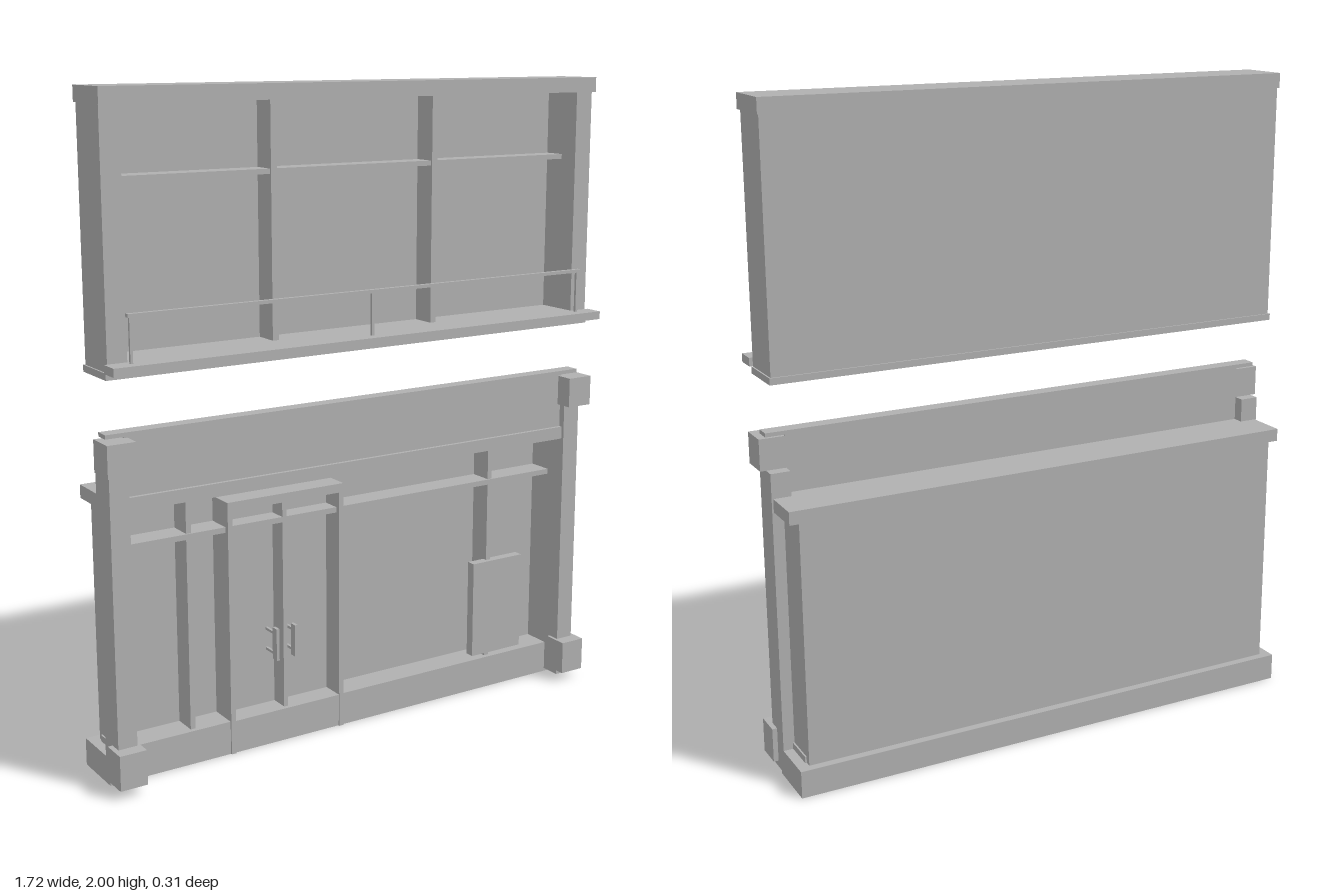
import * as THREE from 'three';

export function createModel() {
  const model = new THREE.Group();
  const grey = new THREE.MeshStandardMaterial({ color: 0xb0b0b0 });
  grey.name = 'plain grey';

  // Box given by its extents along each axis
  function box(parent, name, x0, x1, y0, y1, z0, z1) {
    const mesh = new THREE.Mesh(new THREE.BoxGeometry(x1 - x0, y1 - y0, z1 - z0), grey);
    mesh.position.set((x0 + x1) / 2, (y0 + y1) / 2, (z0 + z1) / 2);
    mesh.name = name;
    parent.add(mesh);
  }
  // The same box on both sides
  function pair(parent, name, x0, x1, ...rest) {
    box(parent, name + 'Left', x0, x1, ...rest);
    box(parent, name + 'Right', -x1, -x0, ...rest);
  }
  // Box centred on x = c
  const post = (parent, name, c, w, ...rest) => box(parent, name, c - w / 2, c + w / 2, ...rest);

  // Upper storey window bay
  const upper = new THREE.Group();
  upper.name = 'upperWindowBay';
  model.add(upper);
  box(upper, 'topCap', -0.845, 0.845, 1.955, 2, -0.055, 0.108);
  pair(upper, 'sidePier', 0.78, 0.84, 1.22, 1.955, -0.05, 0.095);
  box(upper, 'backPane', -0.78, 0.78, 1.24, 1.955, -0.05, -0.042);
  box(upper, 'bottomSlab', -0.845, 0.845, 1.22, 1.24, -0.055, 0.095);
  box(upper, 'sillLedge', -0.78, 0.78, 1.24, 1.265, -0.042, 0.097);
  box(upper, 'frontLedge', -0.85, 0.85, 1.24, 1.265, 0.097, 0.158);
  for (const x of [-0.28, 0.28]) post(upper, 'mullion', x, 0.02, 1.265, 1.955, -0.042, 0.035);
  box(upper, 'transom', -0.78, 0.78, 1.745, 1.76, -0.042, 0.03);

  // Balcony railing
  box(upper, 'topRail', -0.79, 0.79, 1.392, 1.402, 0.113, 0.127);
  for (const x of [-0.78, 0, 0.78]) post(upper, 'railPost', x, 0.008, 1.265, 1.392, 0.116, 0.124);

  // Ground floor shell
  const lower = new THREE.Group();
  lower.name = 'shopfront';
  model.add(lower);
  box(lower, 'base', -0.84, 0.84, 0, 0.085, -0.155, 0.015);
  box(lower, 'sill', -0.81, 0.81, 0.085, 0.105, -0.11, 0.015);
  pair(lower, 'pillar', 0.78, 0.84, 0.01, 0.95, -0.01, 0.08);
  pair(lower, 'pillarFoot', 0.77, 0.855, 0.03, 0.137, 0.04, 0.122);
  pair(lower, 'pillarHead', 0.77, 0.858, 0.95, 1.045, 0.025, 0.115);
  pair(lower, 'sideWall', 0.78, 0.805, 0.085, 0.835, -0.13, -0.01);
  box(lower, 'backWall', -0.78, 0.78, 0.085, 0.835, -0.13, -0.075);
  box(lower, 'roofCornice', -0.835, 0.835, 0.835, 0.875, -0.135, 0.03);
  box(lower, 'headerLedge', -0.78, 0.78, 0.835, 0.875, 0.03, 0.07);
  box(lower, 'signBoard', -0.78, 0.78, 0.875, 1.05, 0.025, 0.058);
  box(lower, 'signTrim', -0.84, 0.84, 1.05, 1.062, 0.02, 0.065);

  // Window bars
  for (const x of [-0.56, 0.54]) post(lower, 'mullion', x, 0.016, 0.105, 0.835, -0.075, 0);
  box(lower, 'transom', -0.78, 0.78, 0.7, 0.717, -0.075, 0.005);

  // Double door with frame, handles and threshold
  const door = new THREE.Group();
  door.name = 'door';
  lower.add(door);
  for (const x of [-0.433, -0.047]) post(door, 'jamb', x, 0.016, 0, 0.795, -0.075, 0.02);
  box(door, 'doorHeader', -0.425, -0.055, 0.767, 0.795, -0.075, 0.02);
  box(door, 'doorLeaves', -0.425, -0.055, 0.105, 0.767, -0.075, -0.055);
  post(door, 'meetingStile', -0.24, 0.014, 0.105, 0.767, -0.055, 0.005);
  for (const x of [-0.272, -0.207]) post(door, 'handle', x, 0.01, 0.265, 0.367, -0.01, 0.015);
  for (const x of [-0.272, -0.207])
    for (const y of [0.28, 0.345]) post(door, 'handleMount', x, 0.008, y, y + 0.008, -0.055, -0.01);
  box(door, 'threshold', -0.425, -0.055, 0.018, 0.105, 0.015, 0.019);

  // Notice board in the right-hand window
  box(lower, 'noticeBoard', 0.47, 0.667, 0.12, 0.44, -0.015, 0.015);

  return model;
}
